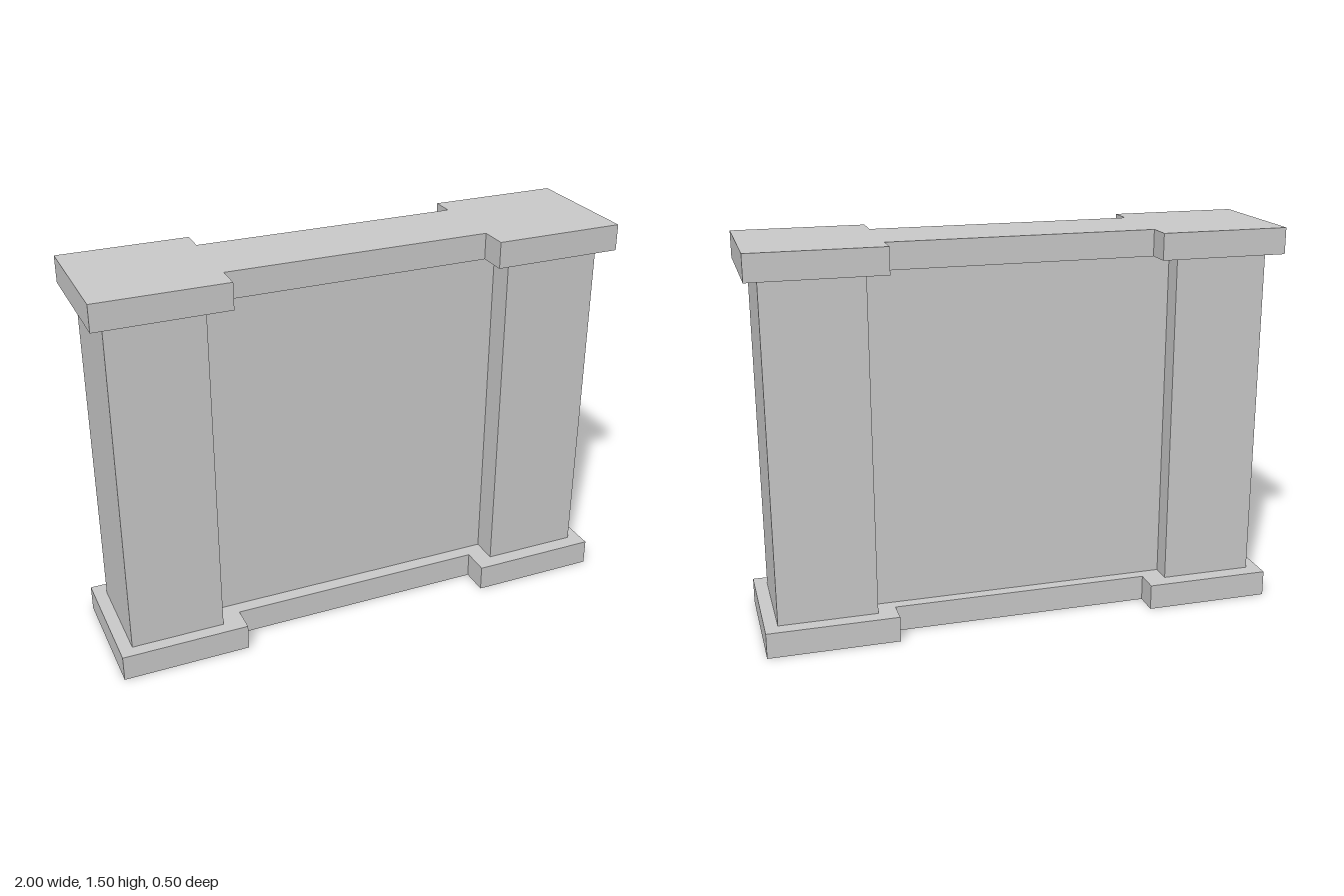
import * as THREE from 'three';

const material = new THREE.MeshStandardMaterial({
  color: 0xcccccc, flatShading: true, side: THREE.DoubleSide,
});

// Dumbbell plan as [x, z] points, counter-clockwise seen from above.
// r and l are the end blocks: outer x, inner x, back z, front z; web is the middle part.
function plan(r, l, web) {
  return [
    [l.outer, l.front], [l.inner, l.front], [l.inner, web.front],
    [r.inner, web.front], [r.inner, r.front], [r.outer, r.front],
    [r.outer, r.back], [r.inner, r.back], [r.inner, web.back],
    [l.inner, web.back], [l.inner, l.back], [l.outer, l.back],
  ];
}

// Upright quads along each segment of a path.
function wallStrip(path, y0, y1) {
  const pos = [];
  for (let i = 0; i < path.length - 1; i++) {
    const [ax, az] = path[i];
    const [bx, bz] = path[i + 1];
    pos.push(ax, y0, az, bx, y0, bz, bx, y1, bz);
    pos.push(ax, y0, az, bx, y1, bz, ax, y1, az);
  }
  const geo = new THREE.BufferGeometry();
  geo.setAttribute('position', new THREE.Float32BufferAttribute(pos, 3));
  geo.computeVertexNormals();
  return geo;
}

// Flat horizontal sheet at height y, optionally with a hole.
function sheet(outline, y, hole) {
  const toVectors = (pts) => pts.map(([x, z]) => new THREE.Vector2(x, -z));
  const shape = new THREE.Shape(toVectors(outline));
  if (hole) shape.holes.push(new THREE.Path(toVectors(hole)));
  return new THREE.ShapeGeometry(shape).rotateX(-Math.PI / 2).translate(0, y, 0);
}

export function createModel() {
  const group = new THREE.Group();
  const add = (name, geometry) => {
    const mesh = new THREE.Mesh(geometry, material);
    mesh.name = name;
    group.add(mesh);
  };

  const slab = plan(
    { outer: 1, inner: 0.5, back: -0.25, front: 0.25 },
    { outer: -1, inner: -0.51, back: -0.255, front: 0.24 },
    { back: -0.16, front: 0.14 },
  );
  const body = plan(
    { outer: 0.95, inner: 0.573, back: -0.195, front: 0.19 },
    { outer: -0.95, inner: -0.592, back: -0.195, front: 0.19 },
    { back: -0.115, front: 0.085 },
  );
  const closed = (pts) => [...pts, pts[0]];

  // Hollow base, open underneath, with a ledge around the body
  add('baseSides', wallStrip(closed(slab), 0, 0.1));
  add('baseLedge', sheet(slab, 0.1, body));

  // Pillars and panel as one shell, with a narrow slit beside one pillar at the back
  const slitEnd = [0.573, -0.15];
  add('bodyWalls', wallStrip([slitEnd, ...body.slice(8), ...body.slice(0, 8)], 0.1, 1.4));

  // Closed cap with an overhanging underside
  add('capUnderside', sheet(slab, 1.4, body));
  add('capSides', wallStrip(closed(slab), 1.4, 1.5));
  add('capTop', sheet(slab, 1.5));

  return group;
}
